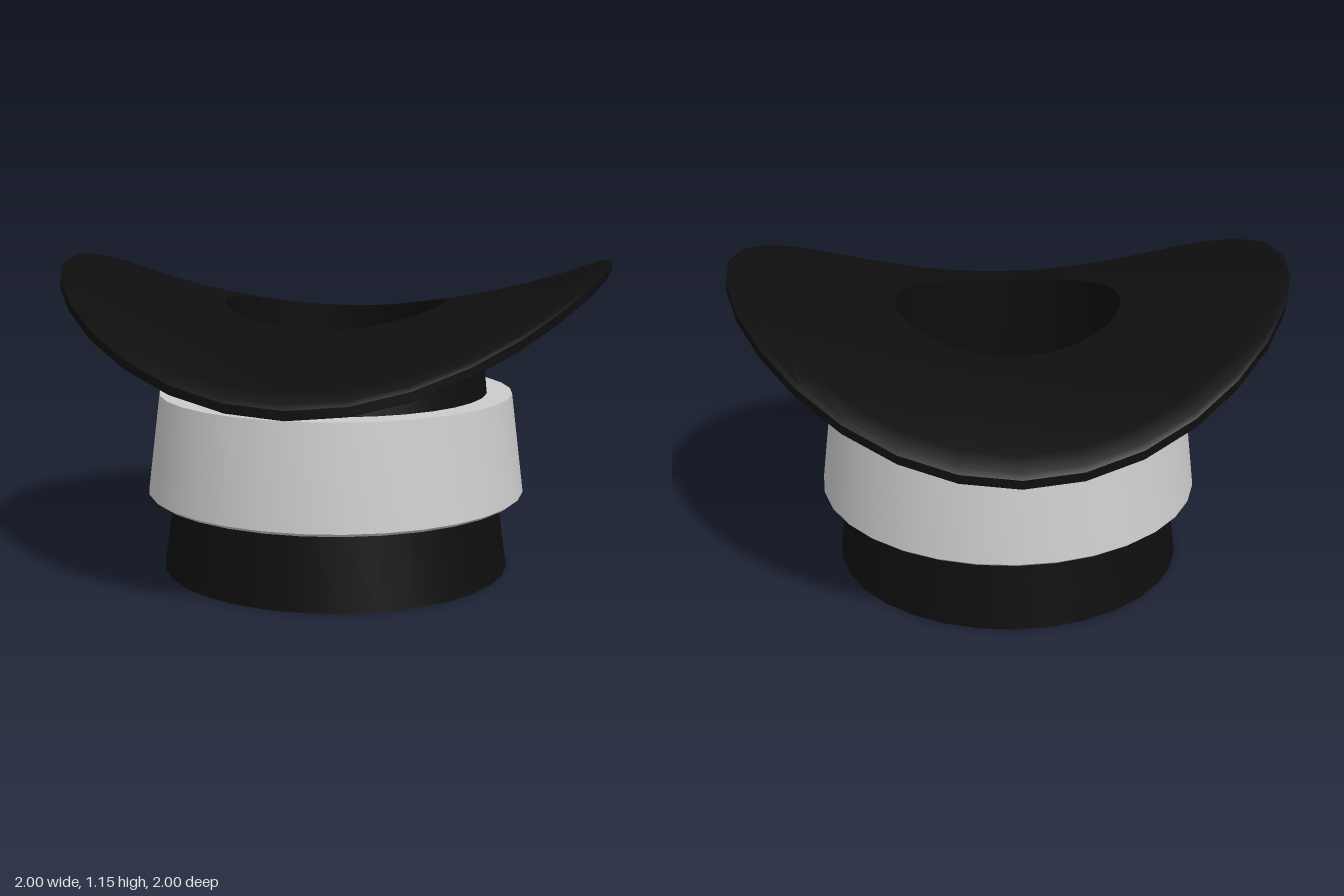
import * as THREE from 'three';
import { toCreasedNormals } from 'three/addons/utils/BufferGeometryUtils.js';

const SEGMENTS = 32;
const LIFT = 0.195; // how far the brim curls up and down on the diagonals

// Bend the upper part into a saddle; the lower body stays round and level.
function bendSaddle(geometry) {
  const p = geometry.attributes.position;
  for (let i = 0; i < p.count; i++) {
    const x = p.getX(i), y = p.getY(i), z = p.getZ(i);
    const weight = THREE.MathUtils.clamp((y - 0.7) / 0.2, 0, 1);
    p.setY(i, y - 2 * LIFT * x * z * weight);
  }
}

function turned(name, profile, color, bend = false) {
  const points = profile.map(([r, y]) => new THREE.Vector2(r, y));
  const geometry = new THREE.LatheGeometry(points, SEGMENTS);
  if (bend) bendSaddle(geometry);
  const mesh = new THREE.Mesh(
    toCreasedNormals(geometry, 0.6),
    new THREE.MeshStandardMaterial({ color })
  );
  mesh.name = name;
  return mesh;
}

// Evenly spaced profile points along a level run
function run(r0, r1, y, steps) {
  return Array.from({ length: steps + 1 }, (_, i) => [r0 + ((r1 - r0) * i) / steps, y]);
}

export function createModel() {
  const hat = new THREE.Group();
  hat.name = 'upturnedHat';

  // Crown, curled brim and hollow inside as one continuous shell
  const shell = [
    [0, 0], [0.65, 0], [0.61, 0.28], [0.565, 0.66], [0.555, 0.74], [0.54, 0.84], [0.53, 0.915],
    ...run(0.56, 0.985, 0.915, 6),
    [1, 0.925], [1, 0.955],
    ...run(0.985, 0.41, 0.965, 8),
    [0.42, 0.84], [0.43, 0.7], [0.5, 0.12], [0, 0.12],
  ];
  hat.add(turned('crownAndBrim', shell, 0x0e0e0e, true));

  // Wide band around the crown
  const band = [[0.6, 0.28], [0.69, 0.28], [0.705, 0.292], [0.658, 0.66], [0.56, 0.66]];
  hat.add(turned('hatBand', band, 0xcccccc));

  return hat;
}
